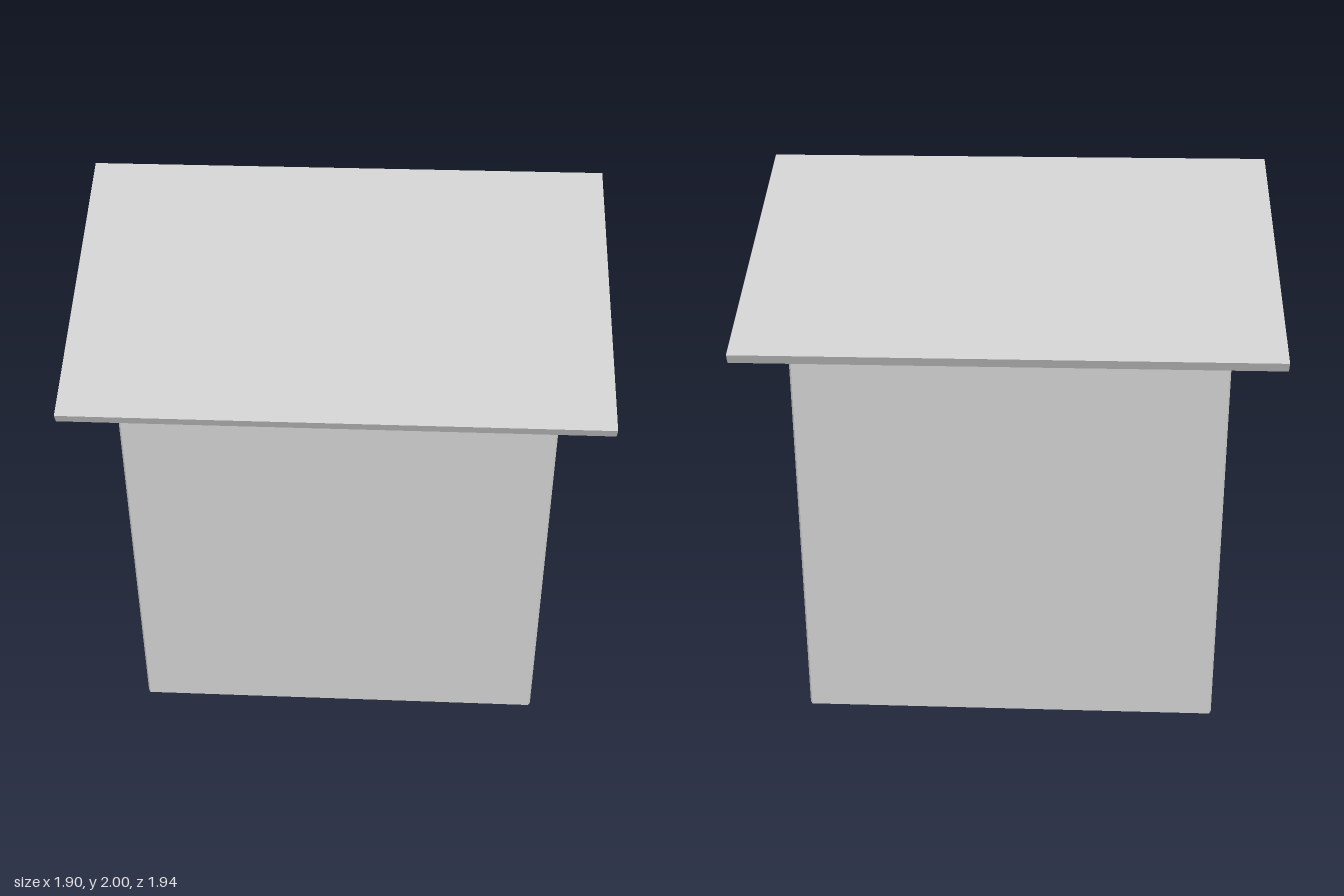
import * as THREE from 'three';

const material = new THREE.MeshStandardMaterial({ color: 0xcccccc, flatShading: true });
const HALF = 0.78;      // half width of the walls
const WALL = 0.04;      // wall and floor thickness
const BEVEL = 0.007;
const underRoof = (z) => 1.966 - 0.5 * Math.abs(z);

// Extrudes a (z, y) outline along x, centred on x = 0.
function panel(name, points, length, hole = null, bevel = 0) {
  const toVectors = (list) => list.map(([z, y]) => new THREE.Vector2(-z, y));
  const shape = new THREE.Shape(toVectors(points));
  if (hole) shape.holes.push(new THREE.Path(toVectors(hole)));
  const geometry = new THREE.ExtrudeGeometry(shape, {
    depth: length - 2 * bevel,
    bevelEnabled: bevel > 0,
    bevelThickness: bevel,
    bevelSize: bevel,
    bevelOffset: -bevel,
    bevelSegments: 1,
  });
  geometry.translate(0, 0, bevel - length / 2);
  geometry.rotateY(Math.PI / 2);
  const mesh = new THREE.Mesh(geometry, material);
  mesh.name = name;
  return mesh;
}

function box(name, w, h, d, x, y, z) {
  const mesh = new THREE.Mesh(new THREE.BoxGeometry(w, h, d), material);
  mesh.name = name;
  mesh.position.set(x, y, z);
  return mesh;
}

export function createModel() {
  const house = new THREE.Group();
  house.name = 'smallHouse';

  // Gable walls, the one on +x with a doorway
  const gable = [[-HALF, 0], [HALF, 0], [HALF, underRoof(HALF)], [0, underRoof(0)], [-HALF, underRoof(HALF)]];
  const doorway = [[-0.36, 0.042], [0.36, 0.042], [0.36, 1.098], [-0.36, 1.098]];
  const doorWall = panel('doorWall', gable, WALL, doorway, BEVEL);
  doorWall.position.x = HALF - WALL / 2;
  const plainWall = panel('plainWall', gable, WALL, null, BEVEL);
  plainWall.position.x = -HALF + WALL / 2;
  house.add(doorWall, plainWall);

  // Long walls, cut to the roof slope along the top
  const inner = HALF - WALL;
  for (const s of [1, -1]) {
    const outline = [[s * inner, 0], [s * HALF, 0], [s * HALF, underRoof(HALF)], [s * inner, underRoof(inner)]];
    house.add(panel(s > 0 ? 'frontWall' : 'backWall', outline, 2 * HALF - 0.014, null, BEVEL));
  }

  // Floor
  house.add(box('floor', 2 * inner + 0.02, 0.04, 2 * inner + 0.02, 0, 0.022, 0));

  // Roof: two sloping slabs meeting at the ridge
  house.add(panel('roof', [
    [0, 2], [-0.97, 1.515], [-0.955, 1.482], [0, 1.966], [0.955, 1.482], [0.97, 1.515],
  ], 1.9));

  // Cross bars inside, stepping up towards the plain wall
  house.add(box('lowerBar', 0.048, 0.048, 2 * inner, -0.3, 0.676, 0));
  house.add(box('upperBar', 0.048, 0.048, 2 * inner, -0.55, 0.968, 0));

  return house;
}
